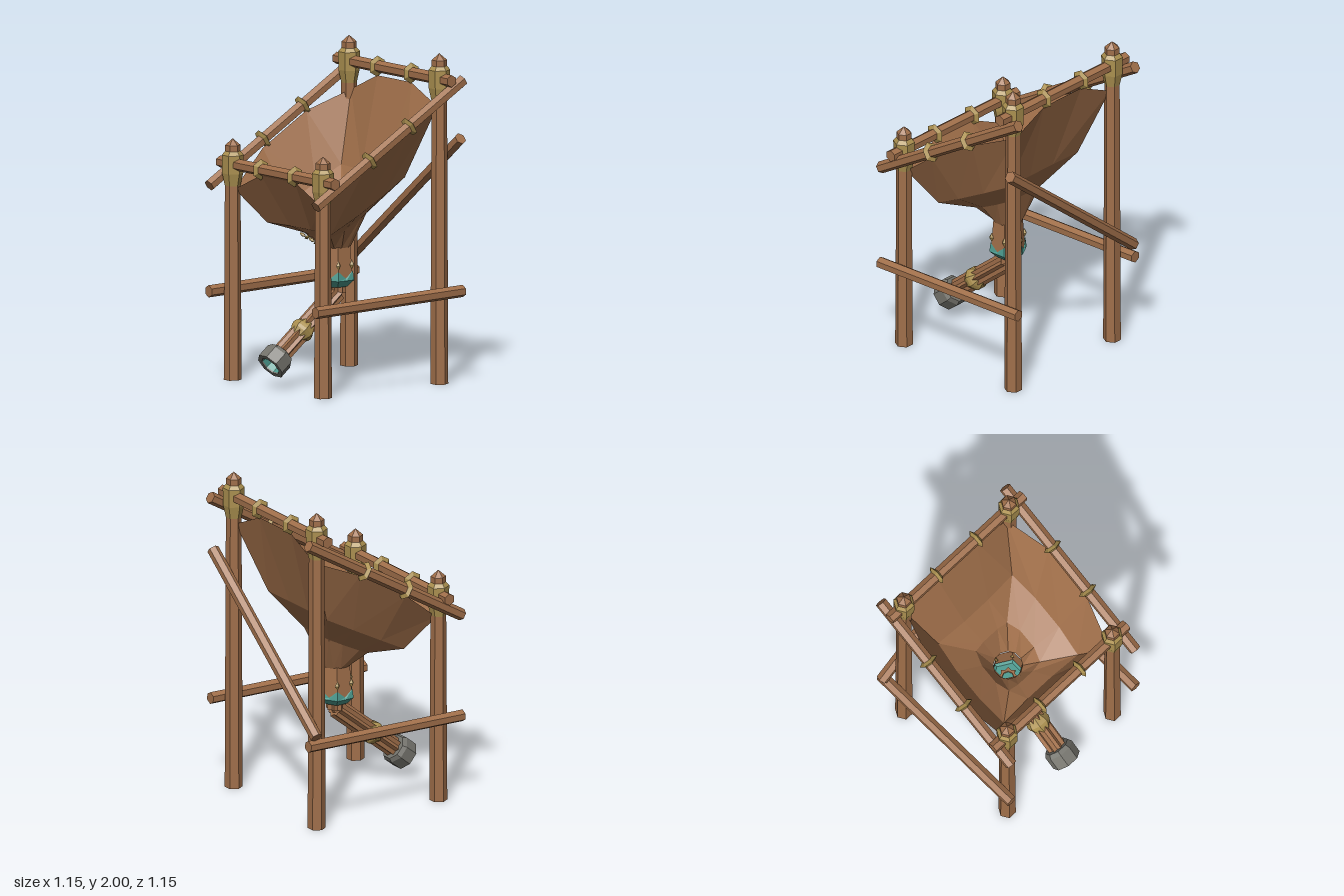
import * as THREE from 'three';

const mat = (name, color, side = THREE.FrontSide) => {
  const m = new THREE.MeshStandardMaterial({ color, flatShading: true, side });
  m.name = name;
  return m;
};
const V = (x, y, z) => new THREE.Vector3(x, y, z);

export function createModel() {
  const model = new THREE.Group();
  model.name = 'feedHopper';
  const wood = mat('wood', 0xa06f4a, THREE.DoubleSide);
  const rope = mat('rope', 0xac9150, THREE.DoubleSide);
  const teal = mat('teal', 0x4d9c90, THREE.DoubleSide);
  const iron = mat('iron', 0x74736c, THREE.DoubleSide);

  const add = (name, geometry, material, x = 0, y = 0, z = 0) => {
    const mesh = new THREE.Mesh(geometry, material);
    mesh.name = name;
    mesh.position.set(x, y, z);
    model.add(mesh);
    return mesh;
  };

  // Turn a mesh so its own y axis runs along dir and one corner points up
  const aim = (mesh, dir) => {
    const d = dir.clone().normalize();
    const side = d.clone().cross(V(0, 1, 0)).normalize();
    mesh.quaternion.setFromRotationMatrix(
      new THREE.Matrix4().makeBasis(side, d, side.clone().cross(d)));
    return mesh;
  };
  const beam = (name, a, b, r = 0.037) => {
    const dir = b.clone().sub(a);
    const mid = a.clone().add(b).multiplyScalar(0.5);
    return aim(add(name, new THREE.CylinderGeometry(r, r, dir.length(), 6), wood, mid.x, mid.y, mid.z), dir);
  };
  const lathe = (points, sides, start = 0) =>
    new THREE.LatheGeometry(points.map(p => new THREE.Vector2(...p)), sides, start);

  // Skin between rings that all have the same number of points
  const loft = rings => {
    const pos = [], n = rings[0].length;
    for (let k = 0; k + 1 < rings.length; k++) {
      for (let i = 0; i < n; i++) {
        const j = (i + 1) % n;
        const [a, b, c, d] = [rings[k][i], rings[k][j], rings[k + 1][j], rings[k + 1][i]];
        for (const p of [a, c, b, a, d, c]) pos.push(p.x, p.y, p.z);
      }
    }
    const g = new THREE.BufferGeometry();
    g.setAttribute('position', new THREE.Float32BufferAttribute(pos, 3));
    g.computeVertexNormals();
    return g;
  };

  // Corner posts with pointed tops and rope lashings
  const postAngle = Math.PI / 6;
  for (const sx of [1, -1]) {
    for (const [z, top, railY, tag] of [[0.44, 1.46, 1.305, 'front'], [-0.44, 2, 1.845, 'back']]) {
      add(tag + 'Post', lathe([[0, 0], [0.054, 0], [0.046, top - 0.04], [0, top]], 6, postAngle), wood, sx * 0.44, 0, z);
      add(tag + 'Lashing', lathe([[0.044, -0.145], [0.064, -0.055], [0.066, 0.055], [0.045, 0.08]], 6, postAngle),
        rope, sx * 0.44, railY, z);
    }
  }

  // Top rails, lower side braces and the back diagonal
  beam('frontRail', V(-0.56, 1.305, 0.44), V(0.56, 1.305, 0.44));
  beam('backRail', V(-0.56, 1.845, -0.44), V(0.56, 1.845, -0.44));
  const slope = V(0, -0.66, 1.12);
  for (const s of [1, -1]) {
    beam('sideRail', V(s * 0.52, 1.835, -0.555), V(s * 0.52, 1.175, 0.555));
    beam('sideBrace', V(s * 0.52, 0.56, -0.555), V(s * 0.52, 0.535, 0.56));
  }
  beam('backDiagonal', V(-0.55, 0.62, -0.515), V(0.55, 1.49, -0.515));

  // Rope ties around the rails
  const tie = lathe([[0.032, -0.018], [0.064, 0], [0.032, 0.018]], 6);
  for (const s of [1, -1]) {
    for (const t of [1, -1]) {
      aim(add('sideTie', tie, rope, s * 0.52, 1.505 - t * 0.15 * 0.59, t * 0.15), slope);
    }
    aim(add('frontTie', tie, rope, s * 0.165, 1.305, 0.44), V(1, 0, 0));
    aim(add('backTie', tie, rope, s * 0.165, 1.845, -0.44), V(1, 0, 0));
  }

  // Slanted hopper: twelve-point rings, low at the corners, narrowing to the neck
  const ring = (cx, cz, mx, mz, t, height) => {
    const pts = [];
    const put = (x, z, kind) => pts.push(V(x, height(z, kind), z));
    put(cx, cz, 'corner'); put(t, mz, 'end'); put(-t, mz, 'end');
    put(-cx, cz, 'corner'); put(-mx, t, 'side'); put(-mx, -t, 'side');
    put(-cx, -cz, 'corner'); put(-t, -mz, 'end'); put(t, -mz, 'end');
    put(cx, -cz, 'corner'); put(mx, -t, 'side'); put(mx, t, 'side');
    return pts;
  };
  const lift = { corner: -0.09, end: 0.025, side: -0.04 };
  const circle = (r, y) => Array.from({ length: 12 }, (_, i) => {
    const a = Math.PI / 4 - i * Math.PI / 6;
    return V(Math.sin(a) * r, y, Math.cos(a) * r);
  });
  // Ring points run from the front left corner towards -x
  add('hopper', loft([
    ring(0.42, 0.44, 0.5, 0.44, 0.165, (z, kind) => 1.505 - 0.59 * z + lift[kind]),
    ring(0.31, 0.28, 0.33, 0.27, 0.1, z => 1.1 - 0.53 * z),
    ring(0.13, 0.14, 0.16, 0.15, 0.06, z => 0.97 - 0.5 * z),
    circle(0.088, 0.82),
  ]), wood);

  // Neck, studs and the stitched seam above it
  add('neck', lathe([[0.092, 0.825], [0.108, 0.63]], 6), wood);
  for (let i = 0; i < 6; i++) {
    const a = (i + 0.5) * Math.PI / 3 + Math.PI / 6;
    const stud = add('neckStud', new THREE.OctahedronGeometry(0.017), rope,
      Math.sin(a) * 0.103, 0.715, Math.cos(a) * 0.103);
    stud.scale.set(1, 1.7, 1);
  }
  for (let i = 0; i < 5; i++) {
    const stitch = add('seamStitch', new THREE.OctahedronGeometry(0.016), rope,
      0, 0.838 + i * 0.019, 0.115 + i * 0.034);
    stitch.scale.set(2, 0.8, 1.1);
    stitch.rotation.z = i % 2 ? 0.35 : -0.35;
  }

  // Toothed collar under the neck
  const hexRing = (r, y, tooth = 0) => Array.from({ length: 12 }, (_, i) => {
    const a = -i * Math.PI / 6;
    const q = i % 2 ? r * 0.88 : r;
    return V(Math.sin(a) * q, y + (i % 2 ? 0 : tooth), Math.cos(a) * q);
  });
  add('collar', loft([hexRing(0.109, 0.635, 0.045), hexRing(0.117, 0.622), hexRing(0.072, 0.58)]), teal);
  const floor = add('collarFloor', new THREE.CircleGeometry(0.095, 6, Math.PI / 6), teal, 0, 0.605, 0);
  floor.rotation.x = -Math.PI / 2;

  // Fluted spout made of slats around a hollow core
  const flute = new THREE.Shape();
  for (let i = 0; i < 16; i++) {
    const a = i * Math.PI / 8, r = i % 2 ? 0.046 : 0.061;
    flute[i ? 'lineTo' : 'moveTo'](Math.cos(a) * r, Math.sin(a) * r);
  }
  const bore = new THREE.Path();
  bore.absarc(0, 0, 0.035, 0, Math.PI * 2, true);
  flute.holes.push(bore);
  const fluted = length => new THREE.ExtrudeGeometry(flute, { depth: length, bevelEnabled: false, curveSegments: 4 })
    .rotateX(-Math.PI / 2);
  add('spoutInlet', fluted(0.08), wood, 0, 0.54, 0);

  const down = V(0, -0.627, 0.779);
  const along = s => V(0, 0.53, 0.015).addScaledVector(down, s);
  const onSpout = (name, geometry, material, s) => {
    const p = along(s);
    return aim(add(name, geometry, material, p.x, p.y, p.z), down);
  };
  onSpout('spout', fluted(0.57), wood, -0.02);
  onSpout('spoutBand', lathe([[0.05, -0.055], [0.07, -0.02], [0.075, 0], [0.07, 0.02], [0.05, 0.055]], 8, Math.PI / 8),
    rope, 0.31);

  // Iron nozzle with a teal lining
  onSpout('nozzle', lathe([[0.045, -0.055], [0.08, -0.055], [0.095, -0.03], [0.095, 0.055], [0.066, 0.055], [0.066, 0.04]],
    8, Math.PI / 8), iron, 0.565);
  onSpout('nozzleLining', lathe([[0.065, 0.045], [0.06, 0], [0.036, 0]], 8, Math.PI / 8), teal, 0.565);

  return model;
}
